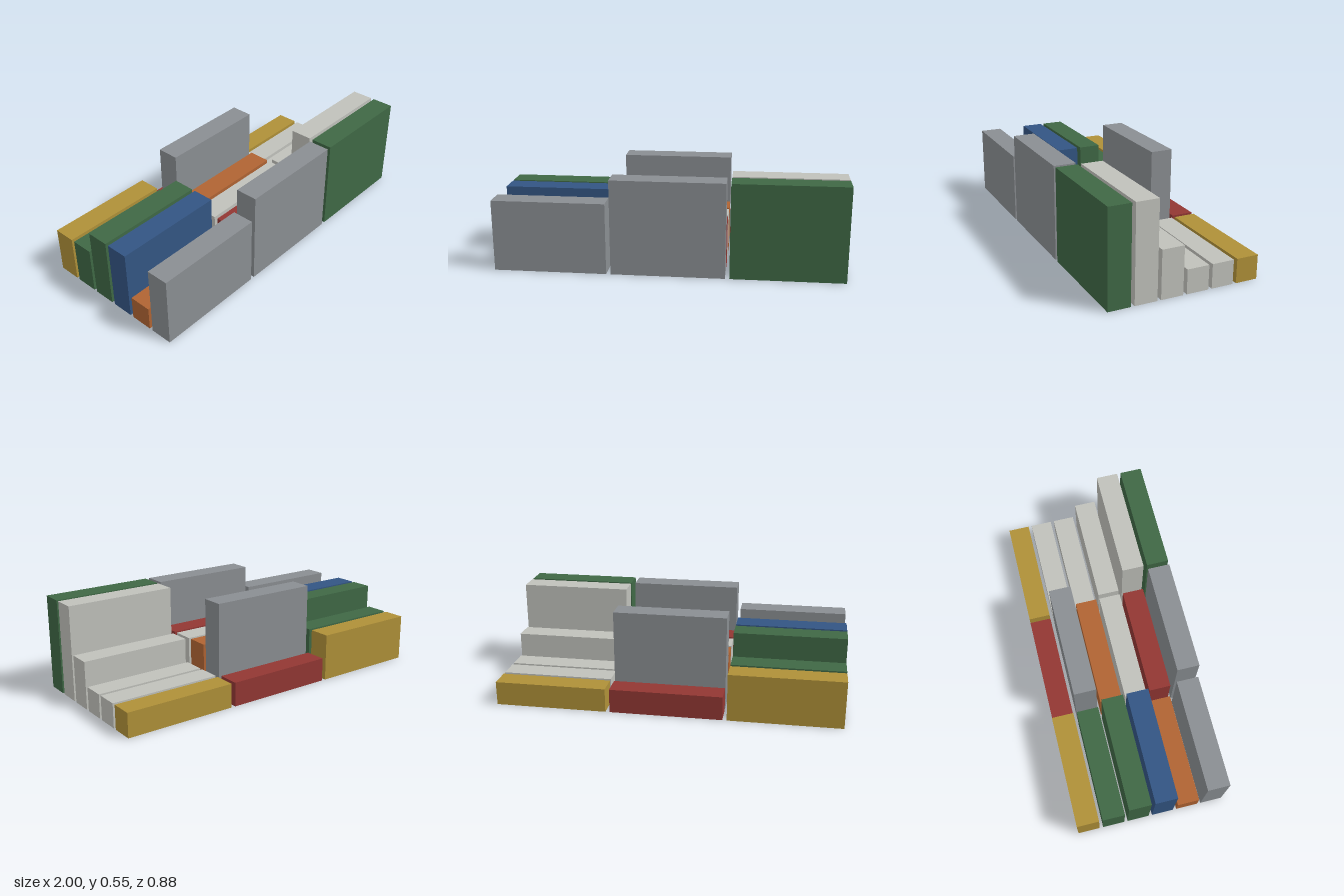
import * as THREE from 'three';

const paint = (name, color) => {
  const m = new THREE.MeshStandardMaterial({ color, side: THREE.DoubleSide });
  m.name = name;
  return m;
};

// Box standing on y = 0 with its underside left open
function openBox(w, h, d) {
  const g = new THREE.BoxGeometry(w, h, d);
  g.translate(0, h / 2, 0);
  const index = Array.from(g.index.array);
  index.splice(18, 6); // drop the underside
  g.setIndex(index);
  g.clearGroups();
  return g;
}

export function createModel() {
  const group = new THREE.Group();
  group.name = 'containerYard';

  const green = paint('green', 0x3f6845);
  const grey = paint('grey', 0x8a8e92);
  const light = paint('lightGrey', 0xc0c1bb);
  const blue = paint('blue', 0x335583);
  const orange = paint('orange', 0xb06433);
  const red = paint('red', 0x923733);
  const yellow = paint('yellow', 0xaf9038);

  // Rows from front to back; each cell is [colour, levels], from -x to +x
  const rows = [
    [[grey, 3], [grey, 4], [green, 4]],
    [[orange, 1], [red, 2], [light, 4]],
    [[blue, 3], [light, 2], [light, 2]],
    [[green, 3], [orange, 2], [light, 1]],
    [[green, 2], [grey, 4], [light, 1]],
    [[yellow, 2], [red, 1], [yellow, 1]],
  ];

  const width = 0.65, depth = 0.129, pitchX = 0.675, pitchZ = 0.15;
  rows.forEach((row, r) => row.forEach(([material, levels], c) => {
    const height = 0.14 + (levels - 1) * 0.1378;
    const stack = new THREE.Mesh(openBox(width, height, depth), material);
    stack.name = `containerStackRow${r + 1}Column${c + 1}`;
    stack.position.set((c - 1) * pitchX, 0, (2.5 - r) * pitchZ);
    group.add(stack);
  }));

  return group;
}
